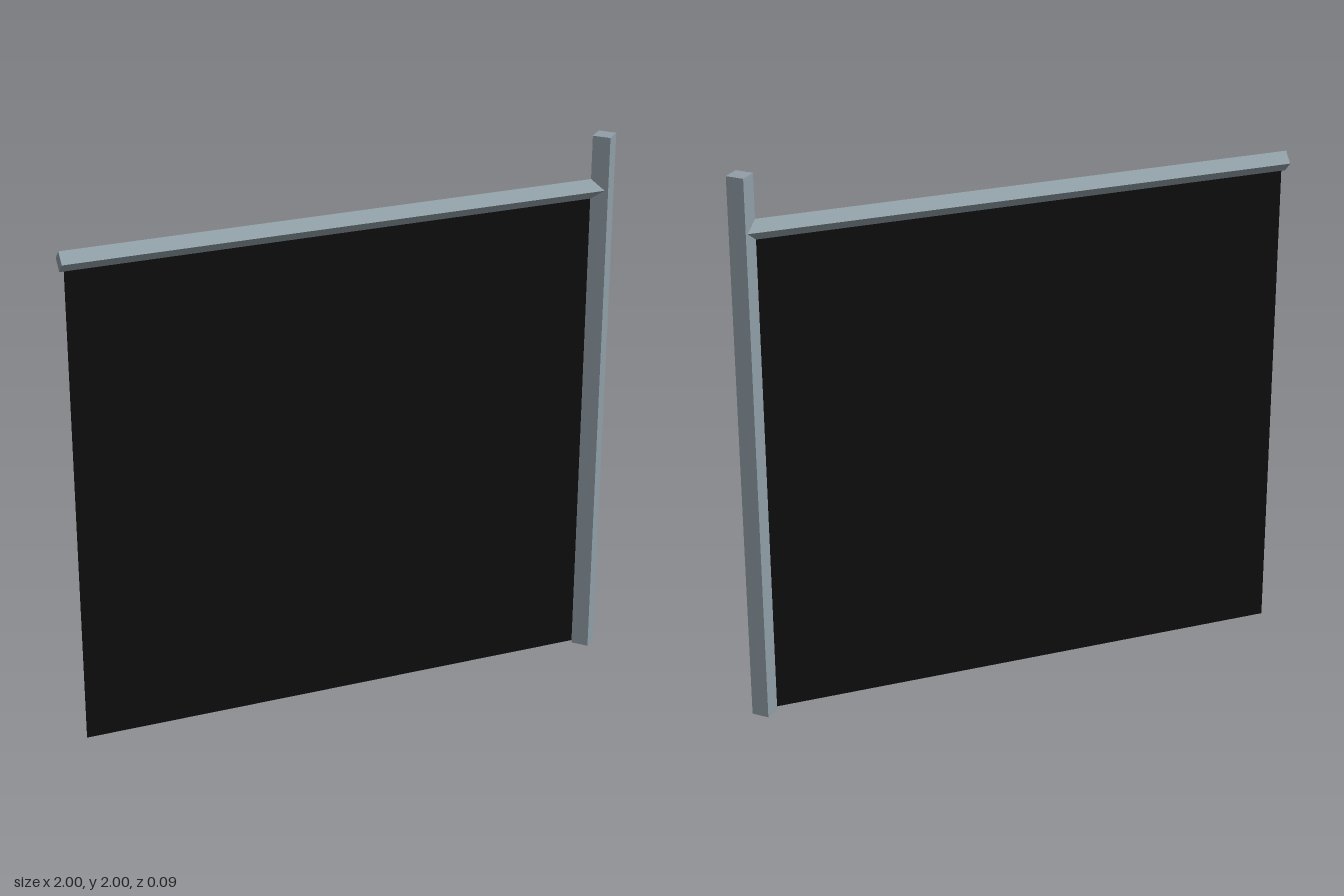
import * as THREE from 'three';

export function createModel() {
  const model = new THREE.Group();
  const steel = new THREE.MeshStandardMaterial({ color: 0x919fa8, flatShading: true });
  steel.name = 'blue grey steel';
  const cloth = new THREE.MeshStandardMaterial({ color: 0x0d0d0d, side: THREE.DoubleSide });
  cloth.name = 'black cloth';

  // Square bar turned on its edge, running along y
  function bar(name, radius, length) {
    const mesh = new THREE.Mesh(new THREE.CylinderGeometry(radius, radius, length, 4), steel);
    mesh.name = name;
    model.add(mesh);
    return mesh;
  }

  // Upright pole
  bar('pole', 0.045, 2).position.set(0.955, 1, 0);

  // Horizontal arm, its inner end buried in the pole
  const arm = bar('arm', 0.036, 1.95);
  arm.rotation.z = Math.PI / 2;
  arm.position.set(-0.025, 1.807, 0);

  // Flat hanging banner
  const banner = new THREE.Mesh(new THREE.PlaneGeometry(1.94, 1.795), cloth);
  banner.name = 'banner';
  banner.position.set(-0.015, 0.9075, 0);
  model.add(banner);

  return model;
}
